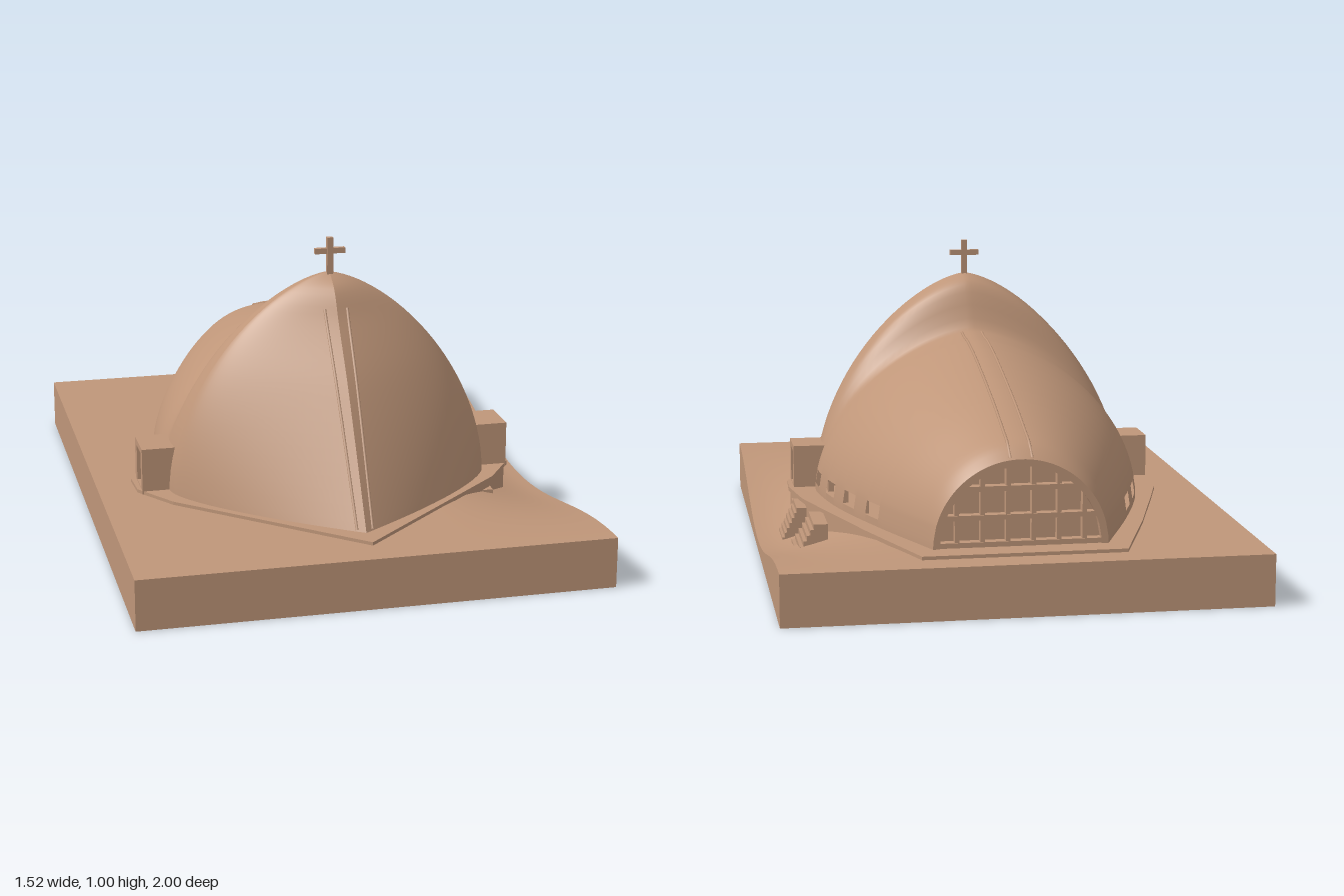
import * as THREE from 'three';

const clay = new THREE.MeshStandardMaterial({ color: 0xbf9679, side: THREE.DoubleSide });
clay.name = 'clay';

const FLOOR = 0.175, CREST = 0.31, BACK = -0.82;
const WINDOWS = [0.062, -0.115, -0.285, -0.452], WIN_HALF = 0.043;

// Smooth curve through [key, value] pairs sorted by key
function curve(p) {
  const slope = i => {
    const a = p[Math.max(i - 1, 0)], b = p[Math.min(i + 1, p.length - 1)];
    return (b[1] - a[1]) / (b[0] - a[0]);
  };
  return k => {
    let i = 0;
    while (i < p.length - 2 && k > p[i + 1][0]) i++;
    const h = p[i + 1][0] - p[i][0], t = THREE.MathUtils.clamp((k - p[i][0]) / h, 0, 1);
    const t2 = t * t, t3 = t2 * t;
    return p[i][1] * (2 * t3 - 3 * t2 + 1) + slope(i) * h * (t3 - 2 * t2 + t)
      + p[i + 1][1] * (3 * t2 - 2 * t3) + slope(i + 1) * h * (t3 - t2);
  };
}

const roofHeight = curve([[-0.82, 0.45], [-0.78, 0.483], [-0.69, 0.515], [-0.5, 0.574], [-0.18, 0.655],
  [0, 0.69], [0.11, 0.70], [0.166, 0.725], [0.22, 0.845], [0.26, 0.877], [0.31, 0.89]]);
const halfWidth = curve([[-0.82, 0.275], [-0.5, 0.405], [-0.2, 0.505], [0.05, 0.55], [0.17, 0.545], [0.31, 0.53]]);
const keelZ = curve([[0.175, 0.81], [0.568, 0.568], [0.756, 0.434], [0.847, 0.375], [0.89, 0.31]]);

// The vault is steep at the crest and round at the back
function exponents(z) {
  const e = THREE.MathUtils.clamp((CREST - z) / 1.1, 0, 1);
  return [1.8 + 0.2 * e, 0.66 - 0.16 * e];
}
function vaultX(z, y) {
  const [a, b] = exponents(z), t = Math.min((y - FLOOR) / (roofHeight(z) - FLOOR), 1);
  return halfWidth(z) * Math.pow(Math.max(1 - Math.pow(t, a), 0), b);
}
function vaultY(z, x) {
  const [a, b] = exponents(z), r = Math.min(Math.abs(x) / halfWidth(z), 1);
  return FLOOR + (roofHeight(z) - FLOOR) * Math.pow(1 - Math.pow(r, 1 / b), 1 / a);
}
// Half section, bottom to top, with rows fixed at the window sill and head
function halfSection(z, n = 26) {
  const pts = [[vaultX(z, FLOOR), FLOOR], [vaultX(z, 0.2), 0.2]];
  for (let i = 0; i <= n; i++) {
    const y = 0.245 + (roofHeight(z) - 0.245) * Math.sin(i / n * Math.PI / 2);
    pts.push([i === n ? 0 : vaultX(z, y), y]);
  }
  return pts;
}
function fullSection(z) {
  const h = halfSection(z);
  return [...h, ...h.slice(0, -1).reverse().map(([x, y]) => [-x, y])];
}

// Surface from rows of [x, y, z] points, leaving out quads where skip(i, j) holds
function loft(rows, skip = () => false) {
  const m = rows[0].length, index = [];
  for (let i = 0; i < rows.length - 1; i++) for (let j = 0; j < m - 1; j++) {
    if (skip(i, j)) continue;
    const a = i * m + j, b = a + m;
    index.push(a, a + 1, b, b, a + 1, b + 1);
  }
  const g = new THREE.BufferGeometry();
  g.setAttribute('position', new THREE.Float32BufferAttribute(rows.flat(2), 3));
  g.setIndex(index);
  g.computeVertexNormals();
  return g;
}

function groundY(x, z) {
  return 0.165 - 0.13 * THREE.MathUtils.smoothstep(x, 0.3, 0.76) * (1 + Math.cos(Math.PI * z)) / 2;
}

export function createModel() {
  const model = new THREE.Group();
  const add = (name, geo, x = 0, y = 0, z = 0) => {
    const mesh = new THREE.Mesh(geo, clay);
    mesh.name = name;
    mesh.position.set(x, y, z);
    model.add(mesh);
    return mesh;
  };
  const box = (name, x0, x1, y0, y1, z0, z1) => add(name,
    new THREE.BoxGeometry(Math.abs(x1 - x0), y1 - y0, Math.abs(z1 - z0)), (x0 + x1) / 2, (y0 + y1) / 2, (z0 + z1) / 2);

  // Ground block with a hollow along one side
  const ground = new THREE.BoxGeometry(1.52, 0.165, 2, 48, 1, 64).translate(0, 0.0825, 0);
  const gp = ground.attributes.position;
  for (let i = 0; i < gp.count; i++) if (gp.getY(i) > 0.1) gp.setY(i, groundY(gp.getX(i), gp.getZ(i)));
  ground.computeVertexNormals();
  add('ground', ground);

  // Floor slab and the foundation below it
  const half = [[0.32, -0.9], [0.45, -0.54], [0.56, -0.2], [0.61, -0.04], [0.64, 0.15], [0.635, 0.26], [0.54, 0.4]];
  const outline = s => new THREE.Shape([...half, [0, 0.89], ...half.slice().reverse().map(([x, z]) => [-x, z])]
    .map(([x, z]) => new THREE.Vector2(x * s, -z * s)));
  const plate = (name, s, y0, y1) => add(name, new THREE.ExtrudeGeometry(outline(s),
    { depth: y1 - y0, bevelEnabled: false }).rotateX(-Math.PI / 2), 0, y0, 0);
  plate('floorSlab', 1, 0.162, 0.176);
  plate('foundation', 0.985, 0.02, 0.163);

  // Nave vault with window openings
  const zs = WINDOWS.flatMap(z => [z - WIN_HALF, z + WIN_HALF]);
  for (let i = 0; i <= 50; i++) zs.push(CREST + (BACK - CREST) * Math.pow(i / 50, 1.25));
  zs.sort((a, b) => b - a);
  const rows = zs.map(z => fullSection(z).map(([x, y]) => [x, y, z]));
  const last = rows[0].length - 2;
  add('naveVault', loft(rows, (i, j) => (j === 1 || j === last - 1)
    && WINDOWS.some(w => Math.abs((zs[i] + zs[i + 1]) / 2 - w) < WIN_HALF)));

  // Pointed front shell, one half per side so that the keel stays sharp
  for (const side of [1, -1]) {
    const shell = halfSection(CREST).map(([w, y]) => Array.from({ length: 25 }, (_, k) => {
      const s = k / 24;
      return [side * w * (1 - Math.pow(s, 1.4)), y, CREST + s * (keelZ(y) - CREST)];
    }));
    add('frontShell', loft(shell));

    // Ribs along the keel and the roof ridge
    const keel = [], ridge = [];
    for (let i = 0; i <= 16; i++) {
      const y = 0.18 + 0.61 * i / 16, rx = 0.037 - 0.012 * (1 - i / 16);
      const s = Math.pow(1 - rx / vaultX(CREST, y), 1 / 1.4);
      keel.push(new THREE.Vector3(side * rx, y, CREST + s * (keelZ(y) - CREST)));
      const z = 0.14 - 0.955 * i / 16;
      ridge.push(new THREE.Vector3(side * 0.034, vaultY(z, 0.034), z));
    }
    for (const [name, pts] of [['keelRib', keel], ['ridgeRib', ridge]])
      add(name, new THREE.TubeGeometry(new THREE.CatmullRomCurve3(pts), 60, 0.005, 6));

    // Recessed window panes
    for (const z of WINDOWS) {
      const x = vaultX(z - WIN_HALF, 0.245) - 0.022;
      box('windowPane', side * (x - 0.02), side * x, 0.185, 0.26, z - 0.055, z + 0.055);
    }

    // Side porch with a recessed doorway
    const wall = new THREE.Shape([[0.14, 0.165], [0.285, 0.165], [0.285, 0.32], [0.14, 0.32]]
      .map(p => new THREE.Vector2(...p)));
    wall.holes.push(new THREE.Path([[0.175, 0.18], [0.175, 0.3], [0.255, 0.3], [0.255, 0.18]]
      .map(p => new THREE.Vector2(...p))));
    const porch = add('porchFront', new THREE.ExtrudeGeometry(wall, { depth: 0.03, bevelEnabled: false })
      .rotateY(-Math.PI / 2).translate(0.03, 0, 0));
    porch.position.x = side > 0 ? 0.592 : -0.622;
    box('porchBody', side * 0.44, side * 0.593, 0.165, 0.32, 0.14, 0.285);
  }

  // Glazed back wall: recessed pane, arch rim and bars
  const arch = scale => fullSection(BACK).map(([x, y]) =>
    new THREE.Vector2(x * scale, FLOOR + (y - FLOOR) * scale));
  add('backPane', new THREE.ShapeGeometry(new THREE.Shape(arch(0.99))), 0, 0, BACK + 0.035);
  const rim = new THREE.Shape(arch(1));
  rim.holes.push(new THREE.Path(arch(0.92).reverse()));
  add('backRim', new THREE.ExtrudeGeometry(rim, { depth: 0.03, bevelEnabled: false }), 0, 0, BACK);
  for (const x of [-0.2, -0.12, -0.04, 0.04, 0.12, 0.2])
    box('backMullion', x - 0.007, x + 0.007, FLOOR, vaultY(BACK, x) - 0.005, BACK + 0.005, BACK + 0.036);
  for (const y of [0.185, 0.27, 0.36]) {
    const w = vaultX(BACK, y) - 0.005;
    box('backRail', -w, w, y - 0.008, y + 0.008, BACK + 0.003, BACK + 0.036);
  }

  // Outdoor stairs down into the hollow
  for (const [x0, x1, z0, z1, top] of [[0.555, 0.67, -0.375, -0.187, 0.163], [0.6, 0.682, -0.093, 0.055, 0.155]]) {
    const n = 7;
    for (let i = 0; i < n; i++)
      box('stairStep', x0, x1 - (x1 - x0) * 0.6 * i / (n - 1), 0.03, 0.055 + (top - 0.055) * i / (n - 1), z0, z1);
  }
  box('stairLanding', 0.6, 0.665, 0.03, 0.075, 0.055, 0.087);
  box('cellarDoor', 0.6, 0.632, 0.07, 0.14, 0.055, 0.13);
  box('cellarWindow', 0.5, 0.535, 0.105, 0.138, 0.375, 0.425);

  // Cross on the crest
  box('crossPost', -0.01, 0.01, 0.87, 1.005, CREST - 0.009, CREST + 0.009);
  box('crossArm', -0.05, 0.05, 0.952, 0.97, CREST - 0.008, CREST + 0.008);

  return model;
}
